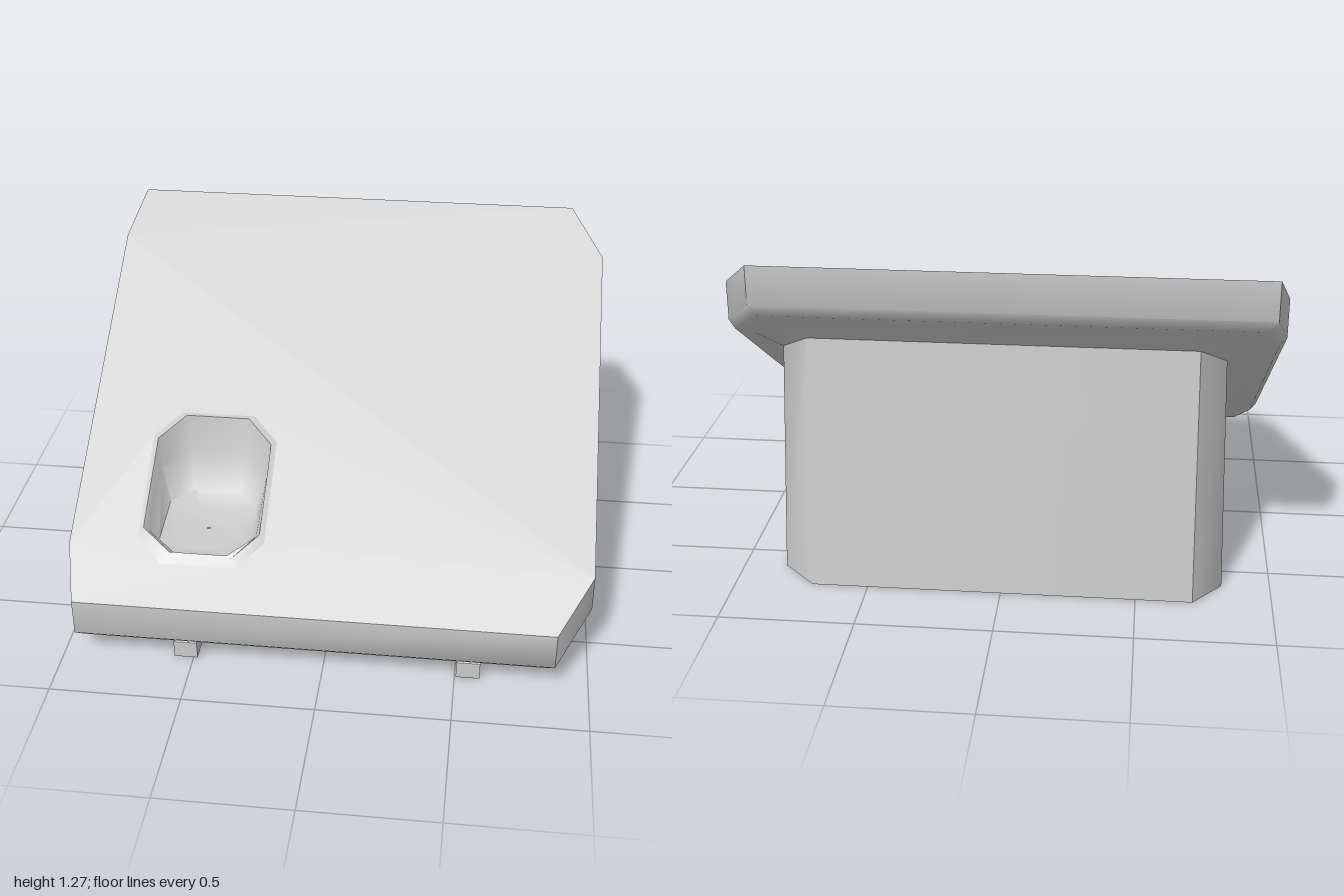
import * as THREE from 'three';
import { toCreasedNormals } from 'three/addons/utils/BufferGeometryUtils.js';

// height of the sloping lid plane at depth z
const lidY = (z) => 0.76 - 0.6456 * z;

// eight-cornered plan outline, running front, +x side, back, -x side
// cL, cR: corner cut along x on the -x and +x sides; cz: cut along z
function outline(x0, x1, z0, z1, cL, cR, cz) {
  return [
    [x0 + cL, z1], [x1 - cR, z1], [x1, z1 - cz], [x1, z0 + cz],
    [x1 - cR, z0], [x0 + cL, z0], [x0, z0 + cz], [x0, z1 - cz],
  ];
}

const lift = (plan, height) => plan.map(([x, z]) => [x, height(z), z]);

// skin through a list of equal rings, from top to bottom
function loft(rings, crease) {
  const n = rings[0].length;
  const index = [];
  for (let r = 0; r < rings.length - 1; r++) {
    for (let i = 0; i < n; i++) {
      const j = (i + 1) % n;
      const a = r * n, b = a + n;
      index.push(b + i, a + j, a + i, b + i, b + j, a + j);
    }
  }
  const g = new THREE.BufferGeometry();
  g.setAttribute('position', new THREE.Float32BufferAttribute(rings.flat(2), 3));
  g.setIndex(index);
  return toCreasedNormals(g, crease);
}

export function createModel() {
  const group = new THREE.Group();
  const material = new THREE.MeshStandardMaterial({ color: 0xcccccc, side: THREE.DoubleSide });
  const add = (name, geometry) => {
    const mesh = new THREE.Mesh(geometry, material);
    mesh.name = name;
    group.add(mesh);
    return mesh;
  };

  // sloping lid with an opening for the pocket
  const lidPlan = outline(-1, 1, -0.79, 0.79, 0.05, 0.13, 0.2);
  const holePlan = outline(-0.74, -0.25, 0.1, 0.64, 0.1, 0.1, 0.09);
  const toVectors = (plan) => plan.map(([x, z]) => new THREE.Vector2(x, -z));
  const lidShape = new THREE.Shape(toVectors(lidPlan));
  lidShape.holes.push(new THREE.Path(toVectors(holePlan)));
  const lid = new THREE.ShapeGeometry(lidShape);
  lid.rotateX(-Math.PI / 2);
  const p = lid.attributes.position;
  for (let i = 0; i < p.count; i++) p.setY(i, lidY(p.getZ(i)));
  lid.computeVertexNormals();
  add('lid', lid);

  // lid rim, turned under towards the neck
  const underPlan = outline(-0.975, 0.98, -0.775, 0.77, 0.055, 0.13, 0.19);
  const lipPlan = outline(-0.92, 0.92, -0.72, 0.74, 0.07, 0.12, 0.17);
  const neckPlan = outline(-0.8, 0.82, -0.66, 0.66, 0.1, 0.12, 0.13);
  const neck = lift(neckPlan, (z) => lidY(z) - 0.225 + 0.02 * (z > 0.4));
  add('lidRim', loft([
    lift(lidPlan, lidY),
    lift(lidPlan, (z) => lidY(z) - 0.145),
    lift(underPlan, (z) => lidY(z) - 0.178),
    lift(lipPlan, (z) => lidY(z) - 0.182),
    neck,
  ], 0.85));

  // hollow wedge body, open at the bottom
  const basePlan = outline(-0.82, 0.84, -0.74, 0.58, 0.11, 0.13, 0.13);
  add('body', loft([neck, lift(basePlan, () => 0)], 0.85));

  // scooped pocket with a slightly raised edge and closed floor
  const scoop = [
    lift(holePlan, lidY),
    lift(outline(-0.72, -0.27, 0.12, 0.62, 0.1, 0.1, 0.09), (z) => lidY(z) + 0.012),
    lift(outline(-0.705, -0.285, 0.145, 0.61, 0.1, 0.1, 0.09), (z) => 0.4 + 0.55 * (lidY(z) - 0.4)),
    lift(outline(-0.67, -0.32, 0.2, 0.58, 0.09, 0.09, 0.08), (z) => 0.4 - 0.15 * (z - 0.2)),
    lift(outline(-0.6, -0.39, 0.28, 0.52, 0.05, 0.05, 0.06), (z) => 0.365 - 0.1 * (z - 0.28)),
    lift(outline(-0.5, -0.49, 0.39, 0.4, 0.003, 0.003, 0.003), () => 0.35),
  ].map((ring) => ring.reverse());
  add('pocket', loft(scoop, 0.9));

  // two small feet reaching out under the front edge
  const footShape = new THREE.Shape([
    [0.53, 0], [0.76, 0], [0.76, 0.07], [0.68, 0.14], [0.62, 0.14],
  ].map(([z, y]) => new THREE.Vector2(z, y)));
  for (const [name, x] of [['rightFoot', -0.53], ['leftFoot', 0.55]]) {
    const foot = new THREE.ExtrudeGeometry(footShape, { depth: 0.09, bevelEnabled: false });
    foot.rotateY(-Math.PI / 2);
    foot.translate(x + 0.045, 0, 0);
    add(name, foot);
  }
  return group;
}
